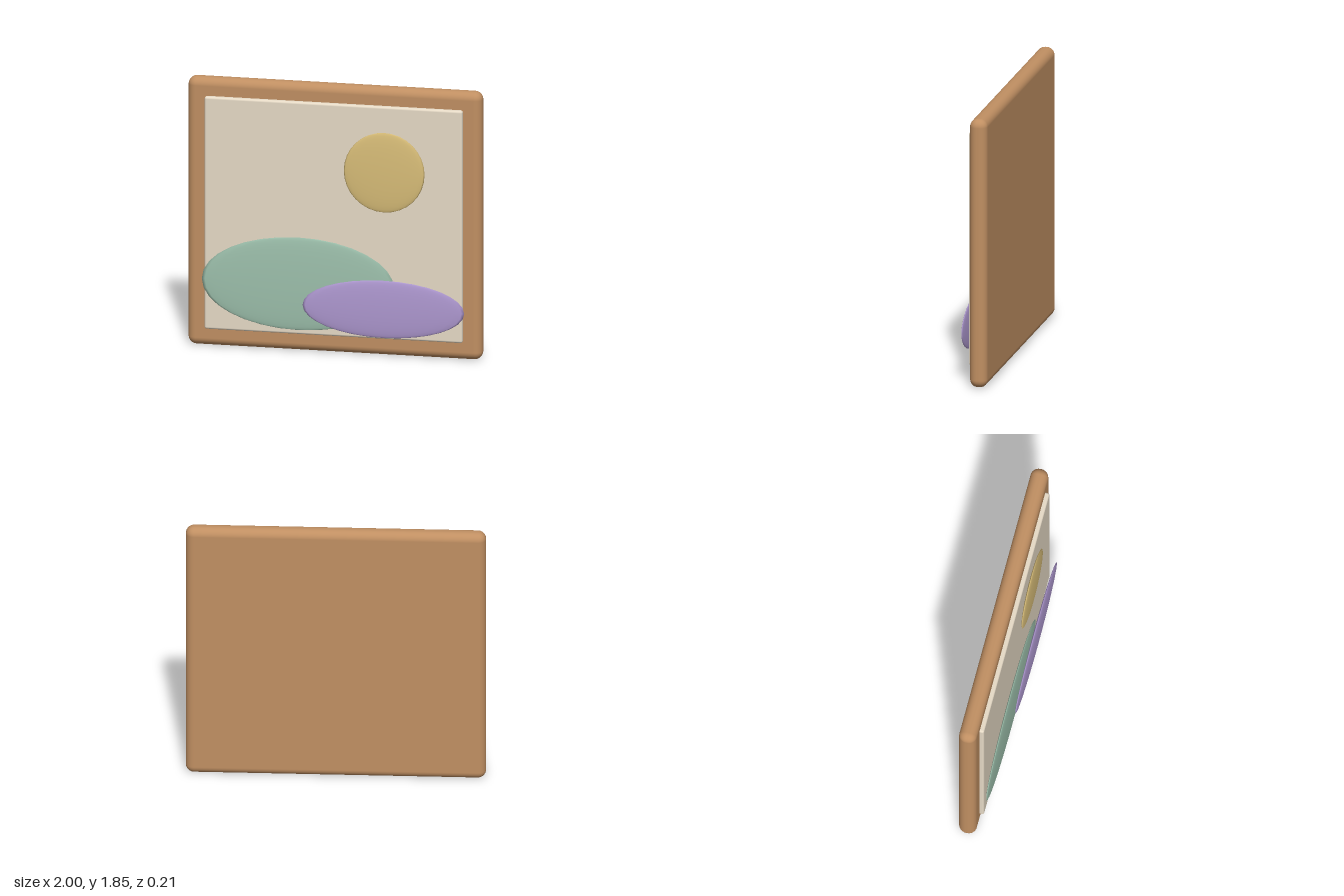
import * as THREE from 'three';
import { RoundedBoxGeometry } from 'three/addons/geometries/RoundedBoxGeometry.js';

export function createModel() {
  const group = new THREE.Group();

  function add(name, geometry, color, x, y, z) {
    const mesh = new THREE.Mesh(geometry, new THREE.MeshStandardMaterial({ color }));
    mesh.name = name;
    mesh.position.set(x, y, z);
    group.add(mesh);
    return mesh;
  }

  // Wooden frame: a thick board with softly rounded edges
  add('frame', new RoundedBoxGeometry(2, 1.85, 0.12, 5, 0.055), 0xc08f62, 0, 0.925, -0.045);

  // Pale canvas standing slightly proud of the frame
  add('canvas', new RoundedBoxGeometry(1.755, 1.605, 0.06, 3, 0.015), 0xe6dac6, 0, 0.927, 0.015);

  // Painted shapes: flattened spheres resting on the canvas
  const shapes = [
    // name, color, centre, radii
    ['sun', 0xd8bd78, [0.35, 1.28, 0.06], [0.275, 0.275, 0.019]],
    ['leftHill', 0x9dc0ac, [-0.235, 0.48, 0.065], [0.655, 0.32, 0.019]],
    ['rightHill', 0xae98d0, [0.35, 0.343, 0.087], [0.55, 0.198, 0.018]],
  ];
  for (const [name, color, centre, radii] of shapes) {
    add(name, new THREE.SphereGeometry(1, 24, 16), color, ...centre).scale.set(...radii);
  }

  return group;
}
